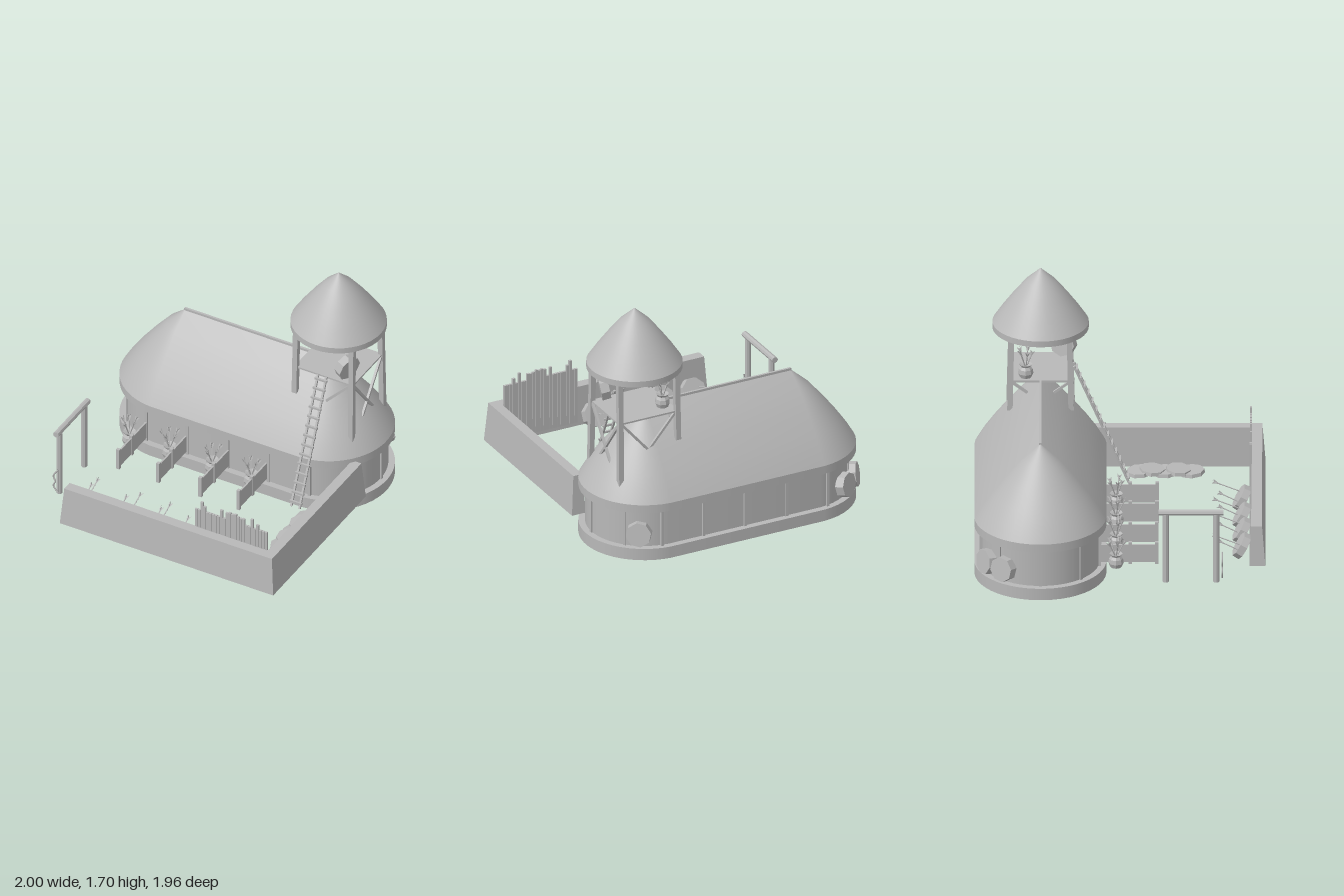
import * as THREE from 'three';

export function createModel() {
  const model = new THREE.Group();
  const grey = new THREE.MeshStandardMaterial({ color: 0xb8b8b8, side: THREE.DoubleSide });
  grey.name = 'plain grey';
  const CX = 0.555, CZ = -0.535, TX = 0.63, GROUND = 0.1;

  let seed = 7;
  const rand = () => (seed = (seed * 16807) % 2147483647) / 2147483647;
  const V = (x, y, z) => new THREE.Vector3(x, y, z);

  function add(geo, name, x = 0, y = 0, z = 0, parent = model) {
    const m = new THREE.Mesh(geo, grey);
    m.name = name;
    m.position.set(x, y, z);
    parent.add(m);
    return m;
  }
  const box = (w, h, d, name, x, y, z, parent) => add(new THREE.BoxGeometry(w, h, d), name, x, y, z, parent);

  // Straight member between two points, square or round
  function bar(a, b, r, name, sides = 4, parent = model) {
    const geo = new THREE.CylinderGeometry(r, r, a.distanceTo(b), sides).toNonIndexed();
    if (sides === 4) geo.rotateY(Math.PI / 4);
    geo.computeVertexNormals();
    const m = add(geo, name, 0, 0, 0, parent);
    m.position.copy(a).lerp(b, 0.5);
    m.quaternion.setFromUnitVectors(V(0, 1, 0), b.clone().sub(a).normalize());
    return m;
  }

  // Lathe whose two halves are pulled apart along x into a long rounded plan
  function stadium(points, name) {
    const segs = 48;
    const geo = new THREE.LatheGeometry(
      points.map(([r, y]) => new THREE.Vector2(Math.max(r, 0.0001), y)), segs, Math.PI / segs);
    const p = geo.attributes.position;
    for (let i = 0; i < p.count; i++) p.setX(i, p.getX(i) + Math.sign(p.getX(i)) * CX);
    return add(geo, name, 0, 0, CZ);
  }
  // One stadium strip per profile edge keeps the corners sharp
  const sharpStadium = (pts, name) => {
    for (let i = 0; i < pts.length - 1; i++) stadium([pts[i], pts[i + 1]], name);
  };

  // Octagonal disc, face turned toward the given direction
  function disc(x, y, z, dir, r, t, name) {
    const geo = new THREE.CylinderGeometry(r * 0.96, r, t, 8).toNonIndexed();
    geo.rotateY(Math.PI / 8);
    geo.computeVertexNormals();
    const m = add(geo, name, x, y, z);
    m.quaternion.setFromUnitVectors(V(0, 1, 0), dir.clone().normalize());
    return m;
  }

  // Arrow from its point to its flared feather end
  function arrow(tip, tail, parent = model) {
    bar(tip, tail, 0.004, 'arrowShaft', 5, parent);
    const feathers = new THREE.Group();
    feathers.name = 'arrowFeathers';
    for (const turn of [0, Math.PI / 2]) {
      const shape = new THREE.Shape([[-0.004, -0.03], [0.004, -0.03], [0.017, 0.012], [0, 0], [-0.017, 0.012]]
        .map(([x, y]) => new THREE.Vector2(x, y)));
      add(new THREE.ShapeGeometry(shape), 'feather', 0, 0, 0, feathers).rotation.y = turn;
    }
    feathers.position.copy(tail);
    feathers.quaternion.setFromUnitVectors(V(0, 1, 0), tail.clone().sub(tip).normalize());
    parent.add(feathers);
  }

  // Pot holding a bunch of arrows
  function arrowPot(x, y, z) {
    const g = new THREE.Group();
    g.name = 'arrowPot';
    const profile = [[0.001, 0], [0.04, 0], [0.052, 0.03], [0.047, 0.06], [0.034, 0.078], [0.045, 0.095], [0.03, 0.09], [0.001, 0.08]];
    const geo = new THREE.LatheGeometry(profile.map(([r, h]) => new THREE.Vector2(r, h)), 8).toNonIndexed();
    geo.computeVertexNormals();
    add(geo, 'pot', 0, 0, 0, g);
    for (let i = 0; i < 5; i++) {
      const a = i * 1.257 + 0.4, s = 0.04 + rand() * 0.02;
      arrow(V(0, 0.06, 0), V(Math.cos(a) * s, 0.18 + rand() * 0.025, Math.sin(a) * s), g);
    }
    g.position.set(x, y, z);
    model.add(g);
  }

  // Longhouse: plinth open underneath, wall, eave band and curved roof
  sharpStadium([[0.445, 0], [0.445, 0.085], [0, 0.085]], 'plinth');
  stadium([[0.4, 0.085], [0.4, 0.36]], 'wall');
  sharpStadium([[0.39, 0.355], [0.445, 0.355], [0.445, 0.415]], 'eave');
  stadium([[0.445, 0.415], [0.395, 0.5], [0.325, 0.6], [0.24, 0.71], [0.13, 0.84], [0, 0.955]], 'roof');
  box(1.12, 0.02, 0.016, 'ridgeBeam', 0, 0.955, CZ);

  // Wall posts on both long sides and round the ends
  for (const s of [-1, 1]) {
    for (const x of [-0.63, -0.315, 0, 0.315, 0.63]) box(0.02, 0.275, 0.02, 'wallPost', x, 0.222, CZ + s * 0.4);
    for (const a of [-0.75, 0, 0.75])
      box(0.02, 0.275, 0.02, 'wallPost', s * (CX + 0.4 * Math.cos(a)), 0.222, CZ + 0.4 * Math.sin(a)).rotation.y = -s * a;
  }

  // Shields hung on the rounded back corners
  for (const [s, a] of [[-1, 0.62], [-1, 1.0], [1, 1.0]]) {
    const d = V(s * Math.cos(a), 0, -Math.sin(a));
    disc(s * CX + d.x * 0.43, 0.19, CZ + d.z * 0.43, d.clone().setY(0.15), 0.09, 0.06, 'wallShield');
  }

  // Watchtower: legs, platform, braces and pointed roof
  for (const sx of [-1, 1]) for (const sz of [-1, 1])
    bar(V(TX + sx * 0.22, sx < 0 ? 0.75 : 0.5, CZ + sz * (sx < 0 ? 0.206 : 0.215)),
      V(TX + sx * 0.215, 1.29, CZ + sz * 0.195), 0.026, 'towerLeg');
  box(0.45, 0.012, 0.41, 'platform', TX, 0.959, CZ);
  for (const s of [-1, 1]) {
    const low = s > 0 ? 0.6 : 0.75;
    for (const t of [-1, 1])
      bar(V(TX + s * 0.22, 0.95, CZ + t * 0.19), V(TX + s * 0.22, low, CZ - t * 0.08), 0.012, 'sideBrace');
    bar(V(TX - s * 0.2, 0.95, CZ - 0.2), V(TX + s * 0.1, 0.6, CZ - 0.2), 0.012, 'backBrace');
  }
  bar(V(TX + 0.2, 0.95, CZ + 0.2), V(TX + 0.02, 0.76, CZ + 0.2), 0.012, 'frontBrace');
  const lathe = (pts) => new THREE.LatheGeometry(pts.map(([r, y]) => new THREE.Vector2(r, y)), 40);
  add(lathe([[0.325, 1.262], [0.325, 1.305]]), 'towerEave', TX, 0, CZ);
  add(lathe([[0.325, 1.305], [0.262, 1.4], [0.185, 1.505], [0.1, 1.61], [0.001, 1.7]]), 'towerRoof', TX, 0, CZ);
  arrowPot(0.47, 0.965, -0.635);
  disc(0.78, 1.065, -0.382, V(-1, 0.2, -0.35), 0.09, 0.06, 'towerShield');

  // Ladder up to the platform
  const foot = V(TX, 0.11, 0.06), top = V(TX, 0.98, -0.31);
  for (const s of [-1, 1])
    bar(foot.clone().setX(TX + s * 0.032), top.clone().setX(TX + s * 0.032), 0.01, 'ladderRail');
  for (let i = 0; i < 14; i++) {
    const p = foot.clone().lerp(top, (i + 0.6) / 14);
    box(0.092, 0.014, 0.014, 'ladderRung', TX, p.y, p.z + 0.008);
  }

  // Stalls: low partitions, each with two posts and an arrow pot beside it
  for (const x of [-0.63, -0.32, 0.005, 0.3]) {
    box(0.012, 0.13, 0.38, 'partition', x, 0.175, 0.06);
    for (const z of [0.07, 0.25]) box(0.024, 0.16, 0.024, 'partitionPost', x, GROUND + 0.08, z);
  }
  for (const x of [-0.7, -0.39, -0.06, 0.24]) arrowPot(x, GROUND + 0.01, -0.025);

  // L-shaped yard wall, open underneath, its outer faces leaning outward at the foot
  const plan = (o, i) => [[-0.65 - o, 0.958 + o], [0.955 + o, 0.958 + o], [0.955 + o, -0.27 - o],
    [0.885 - i, -0.27 - o], [0.885 - i, 0.885 - i], [-0.65 - o, 0.885 - i]];
  const verts = [];
  const quad = (a, b, c, d) => verts.push(...a, ...b, ...c, ...a, ...c, ...d);
  const L = plan(0.022, 0.012).map(([x, z]) => [x, GROUND, z]);
  const H = plan(0, 0).map(([x, z]) => [x, 0.385, z]);
  for (let i = 0; i < 6; i++) { const j = (i + 1) % 6; quad(L[i], L[j], H[j], H[i]); }
  quad(H[0], H[1], H[4], H[5]);
  quad(H[1], H[2], H[3], H[4]);
  const yard = new THREE.BufferGeometry();
  yard.setAttribute('position', new THREE.Float32BufferAttribute(verts, 3));
  yard.computeVertexNormals();
  add(yard, 'yardWall');

  // Palisade of uneven stakes behind the wall
  for (let i = 0; i < 26; i++) {
    const h = 0.43 + (rand() > 0.5 ? 0.035 + rand() * 0.04 : 0);
    box(0.019, h, 0.016, 'stake', 0.33 + i * 0.0215, GROUND + h / 2, 0.882);
  }

  // Practice targets leaning on the wall, each struck by two arrows
  for (const [x, a, b] of [[-0.53, -0.6, -0.57], [-0.29, -0.33, -0.24], [-0.055, -0.06, -0.01], [0.215, 0.15, 0.26]]) {
    disc(x, 0.185, 0.82, V(0, 0.5, -0.87), 0.092, 0.05, 'target');
    arrow(V(a, 0.18, 0.81), V(a, 0.25, 0.67));
    arrow(V(b, 0.21, 0.81), V(b, 0.28, 0.635));
  }

  // Row of overlapping shields laid flat beside the wall
  for (let i = 0; i < 5; i++)
    disc(0.77, 0.115 + (i % 2) * 0.012, 0.13 + i * 0.088, V(0, 1, i % 2 ? 0.06 : -0.06), 0.09, 0.025, 'laidShield')
      .rotateY(i * 0.3);

  // Gate frame
  for (const z of [0.31, 0.65]) bar(V(-0.86, 0.075, z), V(-0.86, 0.58, z), 0.022, 'gatePost', 8);
  bar(V(-0.86, 0.59, 0.26), V(-0.86, 0.59, 0.7), 0.022, 'gateBeam', 8);

  // Bow hung on the gate
  const bow = new THREE.CatmullRomCurve3([V(-0.85, 0.1, 0.69), V(-0.885, 0.15, 0.69), V(-0.87, 0.19, 0.69),
    V(-0.885, 0.23, 0.69), V(-0.85, 0.29, 0.69)]);
  add(new THREE.TubeGeometry(bow, 20, 0.006, 6), 'bow');
  bar(V(-0.85, 0.1, 0.69), V(-0.85, 0.29, 0.69), 0.003, 'bowString');

  return model;
}
